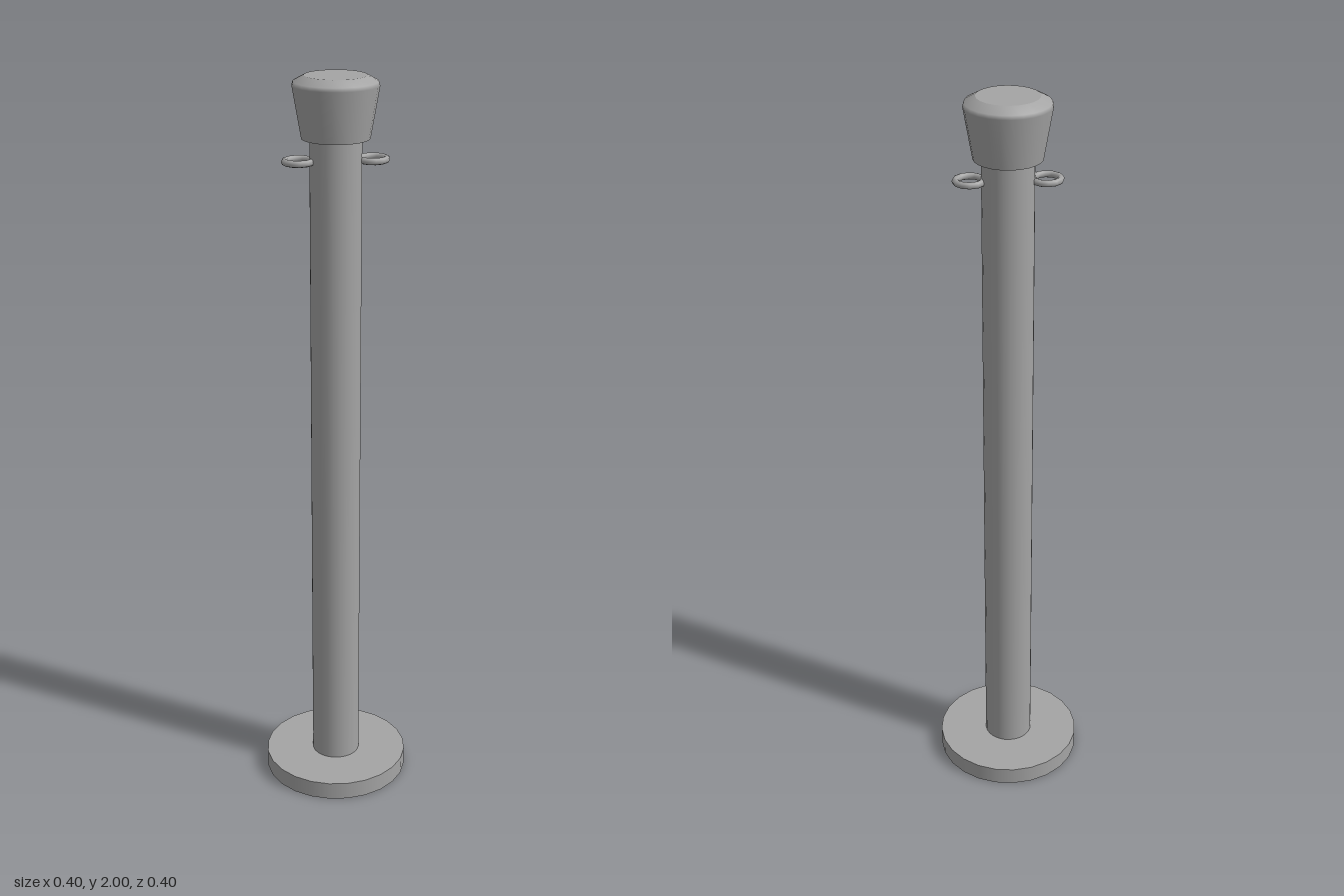
import * as THREE from 'three';

const SIDES = 24;

export function createModel() {
  const model = new THREE.Group();
  const material = new THREE.MeshStandardMaterial({ color: 0xa4a4a4 });

  const add = (name, geometry, y) => {
    const mesh = new THREE.Mesh(geometry, material);
    mesh.name = name;
    mesh.position.y = y;
    model.add(mesh);
    return mesh;
  };

  // Floor plate and post
  add('base', new THREE.CylinderGeometry(0.201, 0.201, 0.05, SIDES), 0.025);
  add('post', new THREE.CylinderGeometry(0.067, 0.067, 1.795, SIDES), 0.9475);

  // Flared cap with a softly bevelled top; doubled points keep the flat ends crisp
  const profile = [
    [0, 0], [0.088, 0], [0.088, 0], [0.111, 0.132],
    [0.108, 0.142], [0.08, 0.157], [0.08, 0.157], [0, 0.157],
  ].map(([r, y]) => new THREE.Vector2(r, y));
  add('cap', new THREE.LatheGeometry(profile, SIDES), 1.843);

  // Rope rings lying flat, partly sunk into the post
  for (const [name, side] of [['leftRing', 1], ['rightRing', -1]]) {
    const ring = add(name, new THREE.TorusGeometry(0.035, 0.009, 8, 12), 1.787);
    ring.rotation.x = Math.PI / 2;
    ring.position.x = side * 0.096;
  }

  return model;
}
